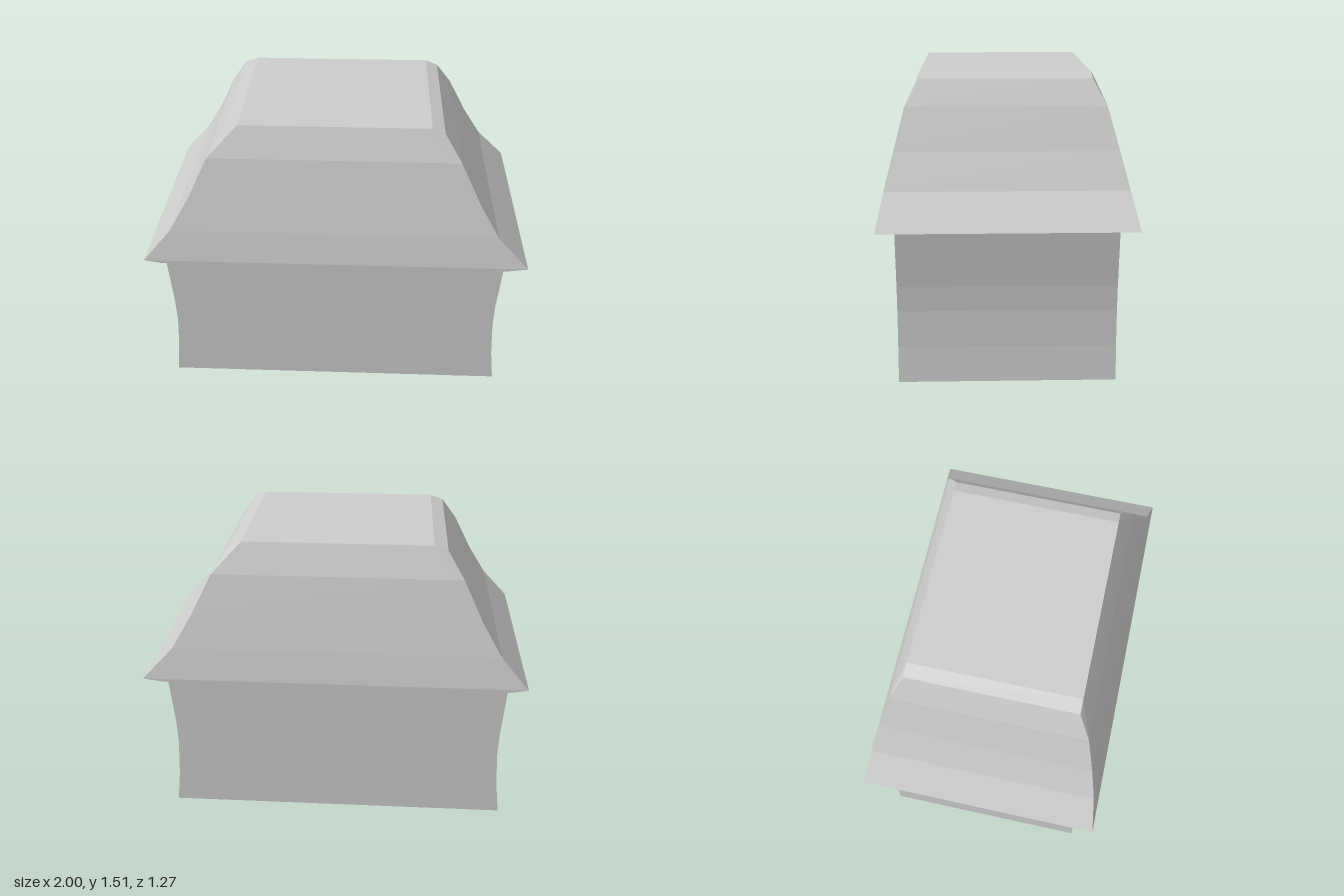
import * as THREE from 'three';

// Rectangular ring [y, xLeft, xRight, halfDepth], counterclockwise seen from above
const ring = ([y, l, r, z]) => [[r, y, z], [r, y, -z], [l, y, -z], [l, y, z]];

const quad = (out, a, b, c, d) => out.push(a, b, c, a, c, d);

// Joins consecutive rings with four walls
function loft(out, rows) {
  const rings = rows.map(ring);
  for (let k = 0; k + 1 < rings.length; k++) {
    for (let i = 0; i < 4; i++) {
      const j = (i + 1) % 4;
      quad(out, rings[k][i], rings[k][j], rings[k + 1][j], rings[k + 1][i]);
    }
  }
}

function capTop(out, row) {
  quad(out, ...ring(row));
}

function capBottom(out, row) {
  quad(out, ...ring(row).reverse());
}

function makeMesh(name, corners) {
  const geometry = new THREE.BufferGeometry();
  geometry.setAttribute('position', new THREE.Float32BufferAttribute(corners.flat(), 3));
  geometry.computeVertexNormals();
  const material = new THREE.MeshStandardMaterial({ color: 0xcccccc, flatShading: true });
  const mesh = new THREE.Mesh(geometry, material);
  mesh.name = name;
  return mesh;
}

// Walls with gently waisted ends
function makeWalls() {
  const rows = [
    [0, -0.91, 0.895, 0.55],
    [0.18, -0.89, 0.875, 0.55],
    [0.37, -0.88, 0.865, 0.55],
    [0.5, -0.885, 0.868, 0.55],
    [0.8, -0.91, 0.895, 0.55],
  ];
  const out = [];
  loft(out, rows);
  capBottom(out, rows[0]);
  capTop(out, rows[rows.length - 1]);
  return makeMesh('walls', out);
}

// Hipped roof with flared eaves and a flat, chamfered crown
function makeRoof() {
  const slope = [
    [0.8, -0.91, 0.895, 0.635],
    [0.815, -1, 1, 0.635],
    [0.98, -0.855, 0.84, 0.602],
    [1.155, -0.75, 0.735, 0.56],
    [1.36, -0.65, 0.632, 0.508],
  ];
  const shoulder = [1.49, -0.565, 0.545, 0.44];
  const crown = [1.515, -0.495, 0.48, 0.44];
  const out = [];
  capBottom(out, slope[0]);
  loft(out, slope);
  capTop(out, crown);

  const a = ring(slope[slope.length - 1]);
  const b = ring(shoulder);
  const c = ring(crown);
  // Ends: last slope, then the chamfer
  for (const [i, j] of [[0, 1], [2, 3]]) {
    quad(out, a[i], a[j], b[j], b[i]);
    quad(out, b[i], b[j], c[j], c[i]);
  }
  // Front and back: one panel up to the crown with a small facet at each corner
  for (const [i, j] of [[3, 0], [1, 2]]) {
    quad(out, a[i], a[j], c[j], c[i]);
    out.push(a[j], b[j], c[j]);
    out.push(a[i], c[i], b[i]);
  }
  return makeMesh('roof', out);
}

export function createModel() {
  const house = new THREE.Group();
  house.name = 'house';
  house.add(makeWalls(), makeRoof());
  return house;
}
